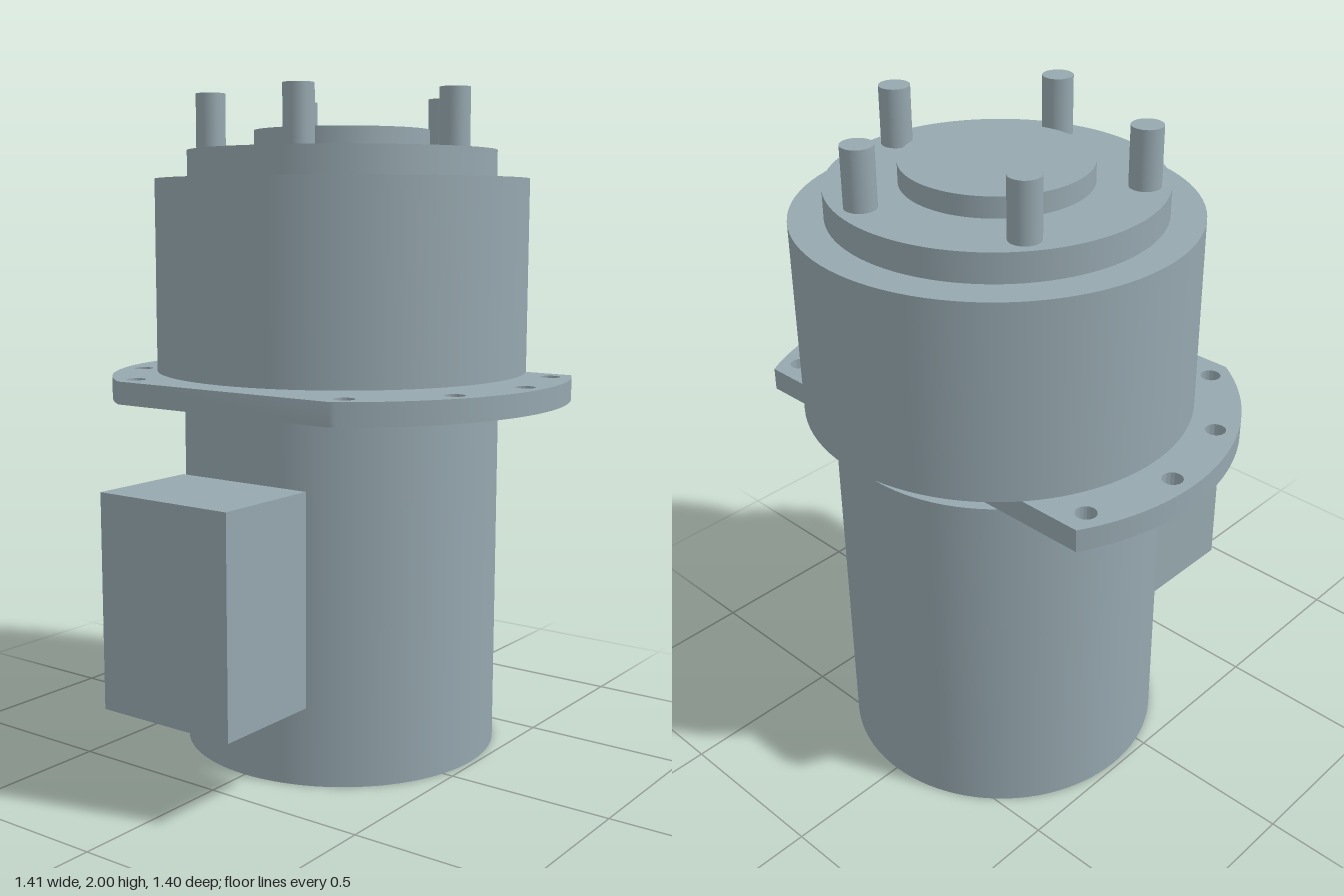
import * as THREE from 'three';
import { toCreasedNormals } from 'three/addons/utils/BufferGeometryUtils.js';

const AXIS_Z = -0.13; // shared vertical axis of all round parts

export function createModel() {
  const model = new THREE.Group();
  const material = new THREE.MeshStandardMaterial({ color: 0x95a7ae });

  const add = (name, geometry, x, y, z) => {
    const mesh = new THREE.Mesh(geometry, material);
    mesh.name = name;
    mesh.position.set(x, y, z);
    model.add(mesh);
  };
  const disc = (name, radius, y0, y1, x = 0, z = 0, sides = 96) =>
    add(name, new THREE.CylinderGeometry(radius, radius, y1 - y0, sides), x, (y0 + y1) / 2, AXIS_Z + z);

  // Stacked round bodies
  disc('motorBody', 0.485, 0, 1.085);
  disc('gearHousing', 0.568, 1.166, 1.745);
  disc('outputHub', 0.47, 1.745, 1.83);
  disc('centreBoss', 0.267, 1.83, 1.89);

  // Five studs around the hub
  for (let i = 0; i < 5; i++) {
    const a = (i * Math.PI * 2) / 5;
    disc('stud', 0.045, 1.83, 2, 0.398 * Math.cos(a), 0.398 * Math.sin(a), 32);
  }

  // Mounting flange: a disc cut straight at front and back (shape y becomes z)
  const R = 0.705, front = Math.asin(0.591 / R), back = Math.asin(-0.353 / R);
  const plate = new THREE.Shape();
  plate.absarc(0, 0, R, back, front, false);
  plate.absarc(0, 0, R, Math.PI - front, Math.PI - back, false);
  plate.closePath();

  // Bolt holes, mirrored left and right
  for (const side of [-1, 1]) {
    for (const [x, z] of [[0.578, -0.278], [0.643, 0], [0.578, 0.278], [0.381, 0.518]]) {
      plate.holes.push(new THREE.Path().absarc(side * x, z, 0.03, 0, Math.PI * 2, true));
    }
  }
  const flange = new THREE.ExtrudeGeometry(plate, { depth: 0.068, bevelEnabled: false, curveSegments: 32 });
  flange.rotateX(Math.PI / 2);
  add('mountingFlange', toCreasedNormals(flange, 0.6), 0, 1.153, AXIS_Z);

  // Terminal box, its flat back touching the front of the motor body
  add('terminalBox', new THREE.BoxGeometry(0.454, 0.626, 0.343), 0, 0.565, 0.5265);

  return model;
}
